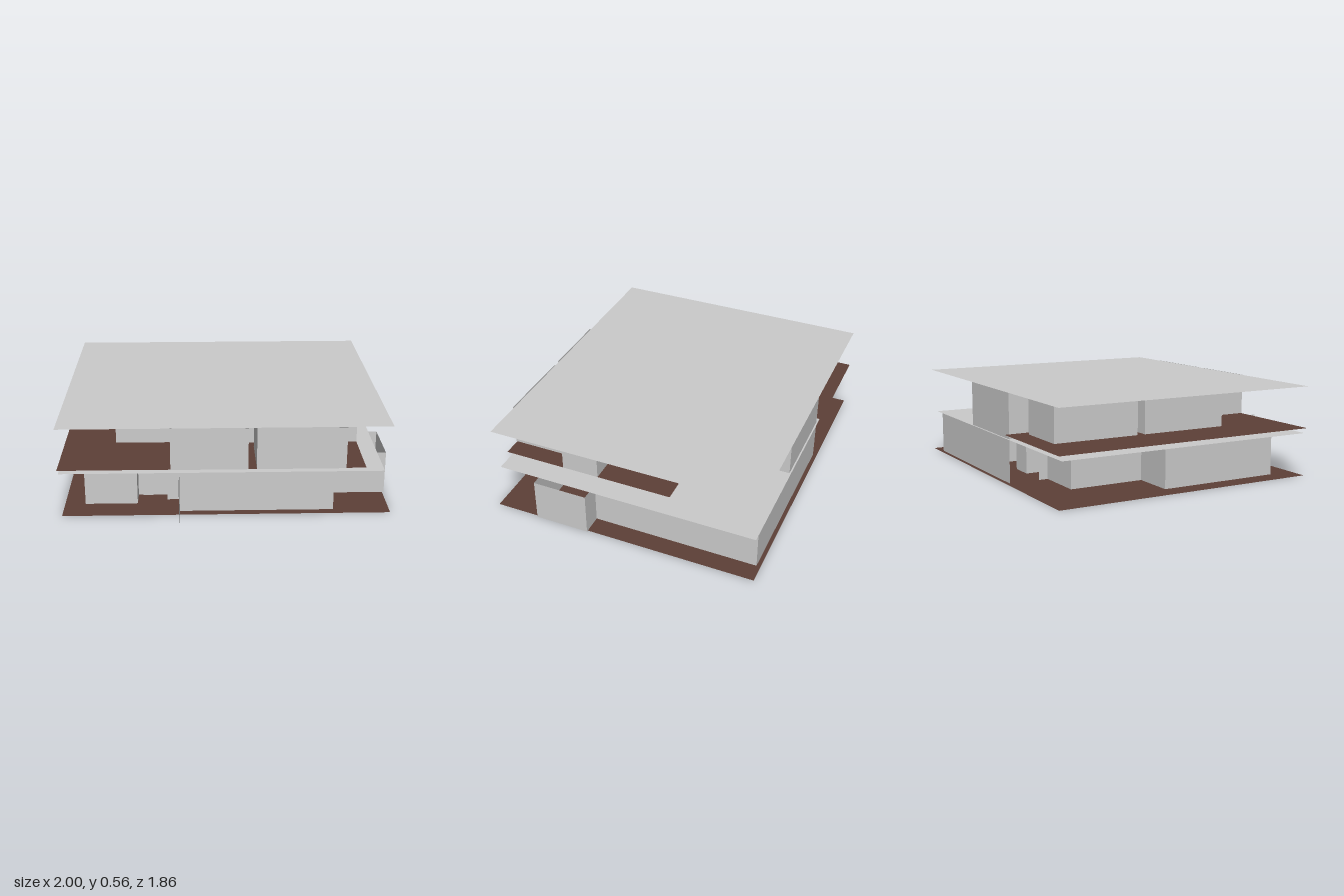
import * as THREE from 'three';

const grey = new THREE.MeshStandardMaterial({ color: 0xcccccc, side: THREE.DoubleSide, flatShading: true });
const brown = new THREE.MeshStandardMaterial({ color: 0x5d4037, side: THREE.DoubleSide, flatShading: true });

// Thin vertical wall following a plan path of [x, z] points
function wall(parent, name, path, y0, y1) {
  const pos = [];
  for (let i = 0; i + 1 < path.length; i++) {
    const [ax, az] = path[i], [bx, bz] = path[i + 1];
    pos.push(ax, y0, az, bx, y0, bz, bx, y1, bz, ax, y0, az, bx, y1, bz, ax, y1, az);
  }
  const g = new THREE.BufferGeometry();
  g.setAttribute('position', new THREE.Float32BufferAttribute(pos, 3));
  g.computeVertexNormals();
  const m = new THREE.Mesh(g, grey);
  m.name = name;
  parent.add(m);
}

const room = (x0, x1, z0, z1) => [[x0, z0], [x0, z1], [x1, z1], [x1, z0], [x0, z0]];

// Thin horizontal sheet from a plan outline, with optional hole
function sheet(parent, name, outline, y, material, hole) {
  const pts = (p) => p.map(([x, z]) => new THREE.Vector2(x, -z));
  const shape = new THREE.Shape(pts(outline));
  if (hole) shape.holes.push(new THREE.Path(pts(hole)));
  const m = new THREE.Mesh(new THREE.ShapeGeometry(shape).rotateX(-Math.PI / 2), material);
  m.position.y = y;
  m.name = name;
  parent.add(m);
}

export function createModel() {
  const house = new THREE.Group();
  house.name = 'house';
  const lower = new THREE.Group(), upper = new THREE.Group(), stairs = new THREE.Group();
  lower.name = 'groundStorey';
  upper.name = 'upperStorey';
  stairs.name = 'stairwell';
  house.add(lower, upper, stairs);

  const F = 0.27, U0 = 0.3, U1 = 0.56;

  // Floors, ceiling and roof
  sheet(house, 'groundFloor', room(-0.985, 0.99, -0.925, 0.77), 0, brown);
  sheet(house, 'lowerCeiling', room(-0.995, 0.945, -0.91, 0.757), F, grey, room(-0.275, 0.295, -0.895, -0.33));
  sheet(house, 'upperFloor', [[-1, 0.775], [0.83, 0.775], [0.83, -0.33], [-0.28, -0.33], [-0.28, -0.93], [-1, -0.93]], U0, brown);
  sheet(house, 'roof', room(-1, 0.98, -0.93, 0.772), U1, grey);

  // Ground storey outer walls, stepping round the plan
  wall(lower, 'frontAndRightWalls', [[-0.28, 0.93], [-0.28, 0.72], [0.65, 0.72], [0.65, 0.49], [1, 0.49],
    [1, 0.145], [0.87, 0.145], [0.87, -0.9], [0.3, -0.9]], 0, F);
  wall(lower, 'leftAndBackWalls', [[-0.28, -0.71], [-0.28, -0.65], [-0.59, -0.65], [-0.59, -0.17], [-0.86, -0.17],
    [-0.86, 0.61], [-0.54, 0.61], [-0.54, 0.49]], 0, F);

  // Recessed entrance with its door
  wall(lower, 'entranceWall', [[-0.54, 0.49], [-0.36, 0.49], [-0.36, 0.56], [-0.28, 0.56], [-0.28, 0.72]], 0, F);
  wall(lower, 'frontDoor', [[-0.51, 0.494], [-0.39, 0.494]], 0, 0.25);

  // Full-height stairwell walls and the inner flight wall
  wall(stairs, 'stairOuterWall', [[-0.28, -0.9], [0.3, -0.9], [0.3, -0.33]], 0, U1);
  wall(stairs, 'stairInnerWall', [[0, -0.53], [-0.08, -0.53], [-0.08, -0.7], [0.07, -0.7], [0.07, -0.31]], 0, U1);

  // Upper storey rooms
  const rooms = {
    backLeftRoom: [-0.68, -0.34, -0.8, -0.25],
    middleLeftRoom: [-0.68, -0.34, -0.2, 0.36],
    frontLeftRoom: [-0.33, 0.13, 0.41, 0.78],
    frontRightRoom: [0.18, 0.71, 0.44, 0.78],
    centreRoom: [-0.08, 0.2, -0.23, 0.1],
    rightRoom: [0.21, 0.54, -0.145, 0.085],
  };
  for (const [name, r] of Object.entries(rooms)) wall(upper, name, room(...r), U0, U1);

  // Upper corridor walls
  wall(upper, 'corridorWall', [[-0.28, -0.9], [-0.28, 0.38], [0.83, 0.38], [0.83, 0.145], [0.48, 0.145], [0.48, 0.11]], U0, U1);

  // Door reveals between rooms and corridor
  for (const x of [0.3, 0.42]) wall(upper, 'frontDoorReveal', [[x, 0.38], [x, 0.44]], U0, 0.54);
  wall(upper, 'rightDoorReveal', [[0.48, 0.085], [0.48, 0.11]], U0, 0.54);
  for (const z of [-0.3, 0.1]) wall(upper, 'leftDoorReveal', [[-0.34, z], [-0.28, z]], U0, 0.54);
  return house;
}
